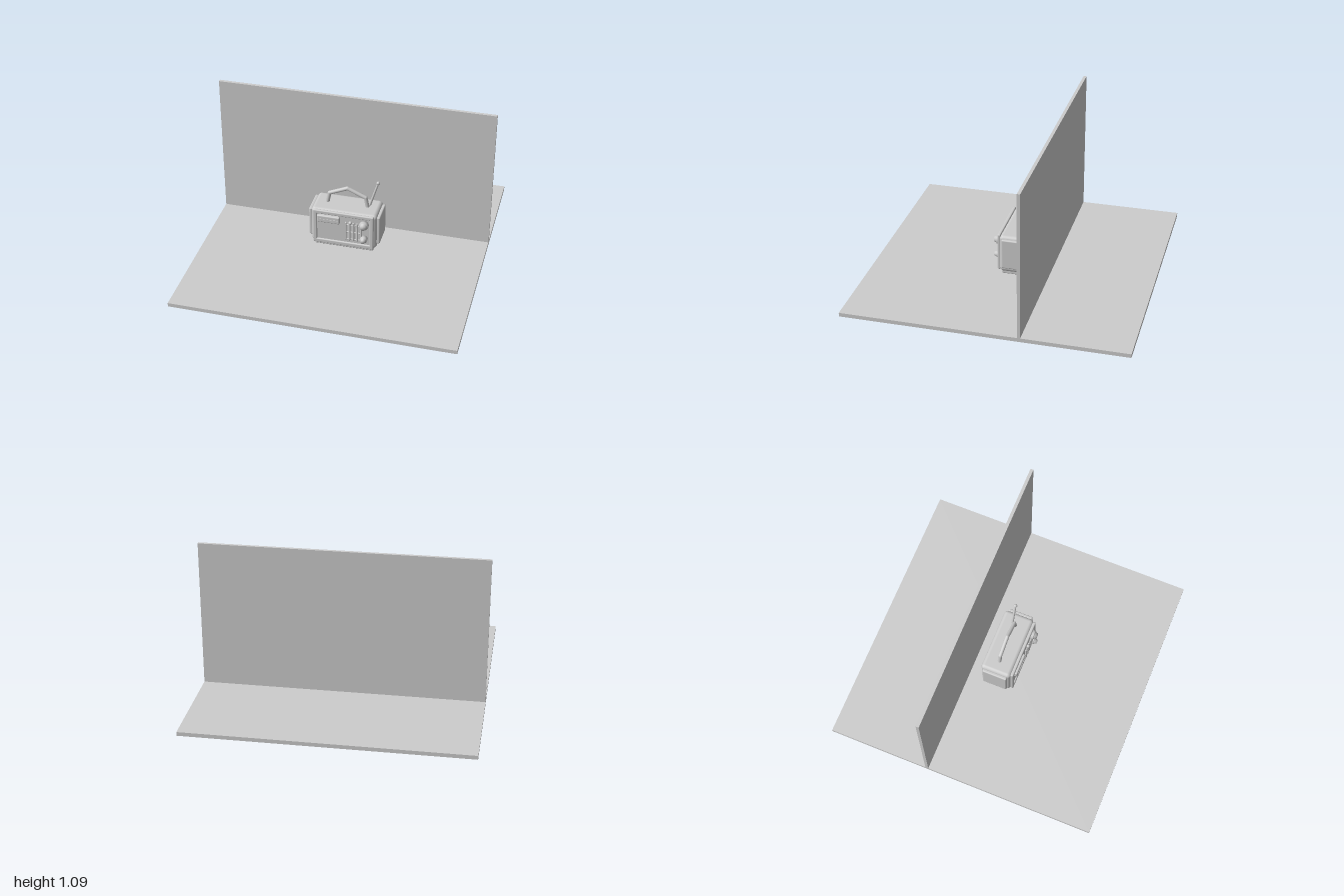
import * as THREE from 'three';
import { RoundedBoxGeometry } from 'three/addons/geometries/RoundedBoxGeometry.js';

export function createModel() {
  const root = new THREE.Group();
  root.name = 'radioDisplay';
  const radio = new THREE.Group();
  radio.name = 'radio';
  root.add(radio);
  const grey = new THREE.MeshStandardMaterial({ color: 0xcccccc });
  grey.name = 'plainGrey';

  const add = (parent, name, geometry, x, y, z) => {
    const mesh = new THREE.Mesh(geometry, grey);
    mesh.name = name;
    mesh.position.set(x, y, z);
    parent.add(mesh);
    return mesh;
  };
  // box given by its minimum and maximum on each axis, rounded when r > 0
  const box = (parent, name, [x0, x1], [y0, y1], [z0, z1], r = 0) => {
    const size = [x1 - x0, y1 - y0, z1 - z0];
    const geometry = r ? new RoundedBoxGeometry(...size, 3, r) : new THREE.BoxGeometry(...size);
    return add(parent, name, geometry, (x0 + x1) / 2, (y0 + y1) / 2, (z0 + z1) / 2);
  };
  // round rod between two points
  const rod = (parent, name, a, b, r0, r1 = r0) => {
    const from = new THREE.Vector3(...a), to = new THREE.Vector3(...b);
    const dir = to.clone().sub(from);
    const mid = from.clone().add(to).multiplyScalar(0.5);
    const mesh = add(parent, name, new THREE.CylinderGeometry(r1, r0, dir.length(), 16), mid.x, mid.y, mid.z);
    mesh.quaternion.setFromUnitVectors(new THREE.Vector3(0, 1, 0), dir.normalize());
    return mesh;
  };
  const ball = (parent, name, p, r) => add(parent, name, new THREE.SphereGeometry(r, 16, 12), ...p);

  // backdrop
  box(root, 'floor', [-1, 1], [0, 0.028], [-1, 1]);
  box(root, 'backWall', [-1, 1], [0.028, 1.085], [-0.262, -0.24]);

  // case, foot and side panels
  box(radio, 'case', [-0.24, 0.24], [0.054, 0.337], [-0.142, 0.085], 0.028);
  box(radio, 'foot', [-0.215, 0.215], [0.028, 0.06], [-0.135, 0.073], 0.008);
  for (const s of [-1, 1]) {
    const x = [s * 0.235, s * 0.261].sort((a, b) => a - b);
    box(radio, 'sidePanel', x, [0.094, 0.318], [-0.12, 0.064], 0.009);
  }

  // front frame around the recessed panel
  const frameZ = [0.08, 0.103];
  box(radio, 'frameTop', [-0.222, 0.222], [0.307, 0.337], frameZ, 0.008);
  box(radio, 'frameBottom', [-0.222, 0.222], [0.06, 0.092], frameZ, 0.008);
  box(radio, 'frameLeft', [0.193, 0.222], [0.06, 0.337], frameZ, 0.008);
  box(radio, 'frameRight', [-0.222, -0.193], [0.06, 0.337], frameZ, 0.008);
  box(radio, 'frontPanel', [-0.196, 0.196], [0.09, 0.309], [0.08, 0.092]);

  // tuning window with its scale line
  box(radio, 'tuningWindow', [-0.188, -0.022], [0.249, 0.306], [0.09, 0.12], 0.009);
  box(radio, 'tuningLine', [-0.168, -0.035], [0.276, 0.28], [0.118, 0.123]);

  // speaker grille
  for (let i = 0; i < 5; i++) {
    const x = 0.022 + i * 0.028;
    rod(radio, 'grilleBar', [x, 0.127, 0.107], [x, 0.268, 0.107], 0.007);
    for (const y of [0.127, 0.268]) ball(radio, 'grilleBarEnd', [x, y, 0.107], 0.007);
  }
  for (const y of [0.13, 0.19, 0.25]) rod(radio, 'grilleCrossbar', [0.018, y, 0.105], [0.138, y, 0.105], 0.005);
  ball(radio, 'indicatorLight', [0.056, 0.272, 0.11], 0.013);

  // stepped control knobs
  const knob = (y, r) => {
    const profile = [[0, 0], [r, 0], [r, 0.026], [r * 0.88, 0.032], [r * 0.7, 0.032], [r * 0.62, 0.05], [0, 0.052]];
    const geometry = new THREE.LatheGeometry(profile.map(p => new THREE.Vector2(...p)), 28);
    add(radio, 'knob', geometry, 0.153, y, 0.09).rotation.x = Math.PI / 2;
  };
  knob(0.264, 0.034);
  knob(0.145, 0.027);

  // carrying handle
  const handle = [[-0.148, 0.33], [-0.132, 0.41], [0, 0.468], [0.132, 0.41], [0.148, 0.33]].map(([x, y]) => [x, y, -0.031]);
  for (let i = 0; i < 4; i++) {
    rod(radio, 'handleBar', handle[i], handle[i + 1], 0.014);
    if (i) ball(radio, 'handleJoint', handle[i], 0.014);
  }

  // antenna
  rod(radio, 'antenna', [0.156, 0.328, -0.056], [0.217, 0.53, -0.056], 0.009, 0.007);
  ball(radio, 'antennaTip', [0.217, 0.53, -0.056], 0.013);

  return root;
}
